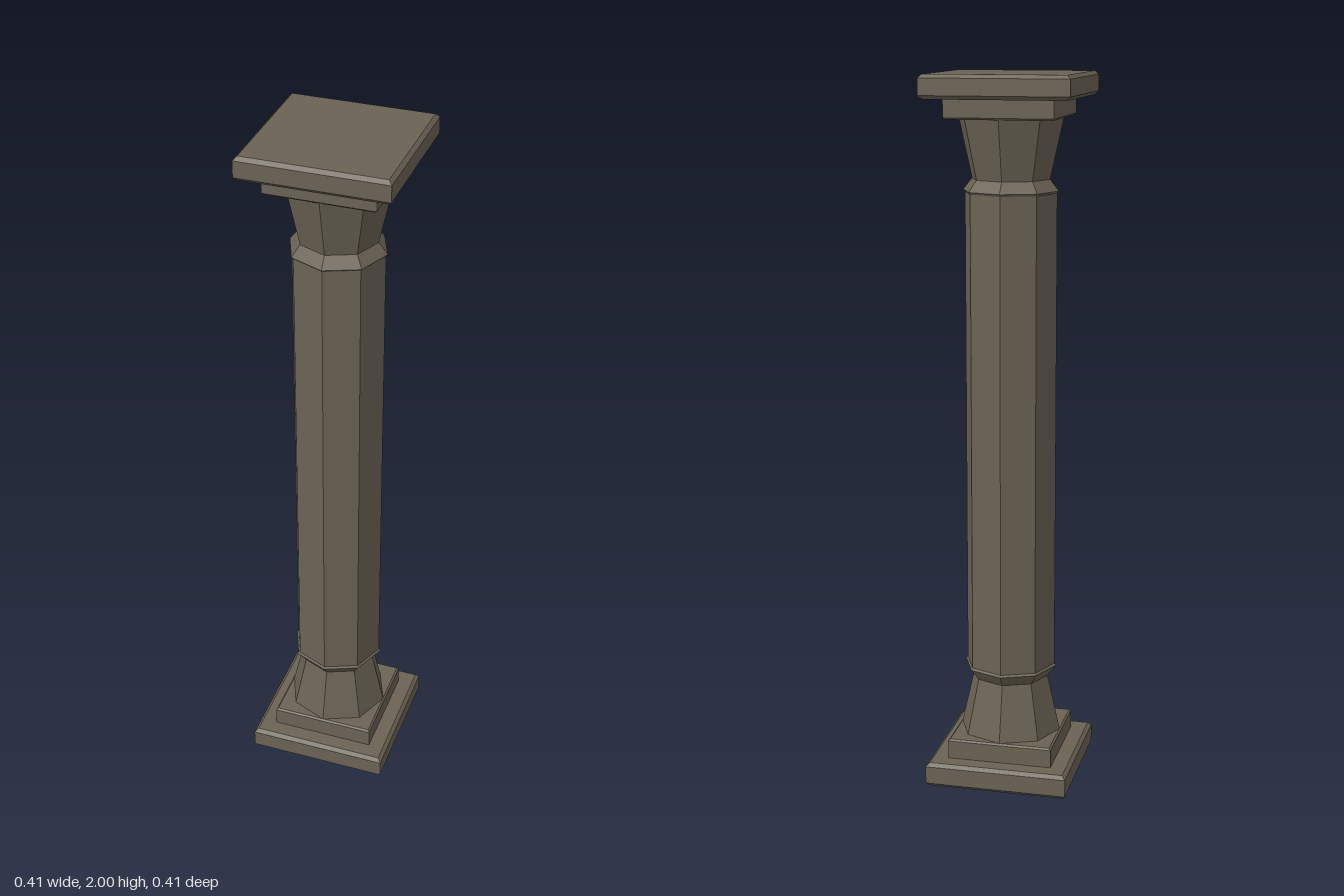
import * as THREE from 'three';

const stone = new THREE.MeshStandardMaterial({ color: 0x6b6354, flatShading: true });

// Faceted solid of revolution; profile is [radius, y] from bottom to top
function prism(name, sides, profile, phase = 0) {
  const points = profile.map(([r, y]) => new THREE.Vector2(r, y));
  const geometry = new THREE.LatheGeometry(points, sides, phase).toNonIndexed();
  geometry.computeVertexNormals();
  const mesh = new THREE.Mesh(geometry, stone);
  mesh.name = name;
  return mesh;
}

// Square block with chamfered top and bottom edges
function slab(name, half, y0, y1, bevel) {
  const outer = half * Math.SQRT2;
  const inner = (half - bevel) * Math.SQRT2;
  return prism(name, 4, [
    [0, y0], [inner, y0], [outer, y0 + bevel],
    [outer, y1 - bevel], [inner, y1], [0, y1],
  ], Math.PI / 4);
}

export function createModel() {
  const column = new THREE.Group();
  column.name = 'column';

  // Square footing and its step
  column.add(slab('baseSlab', 0.203, 0, 0.07, 0.01));
  column.add(slab('basePlinth', 0.15, 0.065, 0.127, 0.005));

  // Octagonal flare, neck and collar at the foot
  column.add(prism('baseFlare', 8, [
    [0, 0.122], [0.147, 0.122], [0.109, 0.289], [0.134, 0.322], [0.129, 0.328], [0, 0.328],
  ]));

  // Octagonal shaft
  column.add(prism('shaft', 8, [[0, 0.325], [0.129, 0.325], [0.129, 1.684], [0, 1.684]]));

  // Collar, neck and flare below the capital
  column.add(prism('capitalFlare', 8, [
    [0, 1.68], [0.129, 1.68], [0.134, 1.686], [0.109, 1.717], [0.147, 1.886], [0, 1.886],
  ]));

  // Square capital step and top slab
  column.add(slab('capitalPlinth', 0.15, 1.881, 1.94, 0.005));
  column.add(slab('capitalSlab', 0.203, 1.935, 2, 0.01));

  return column;
}
